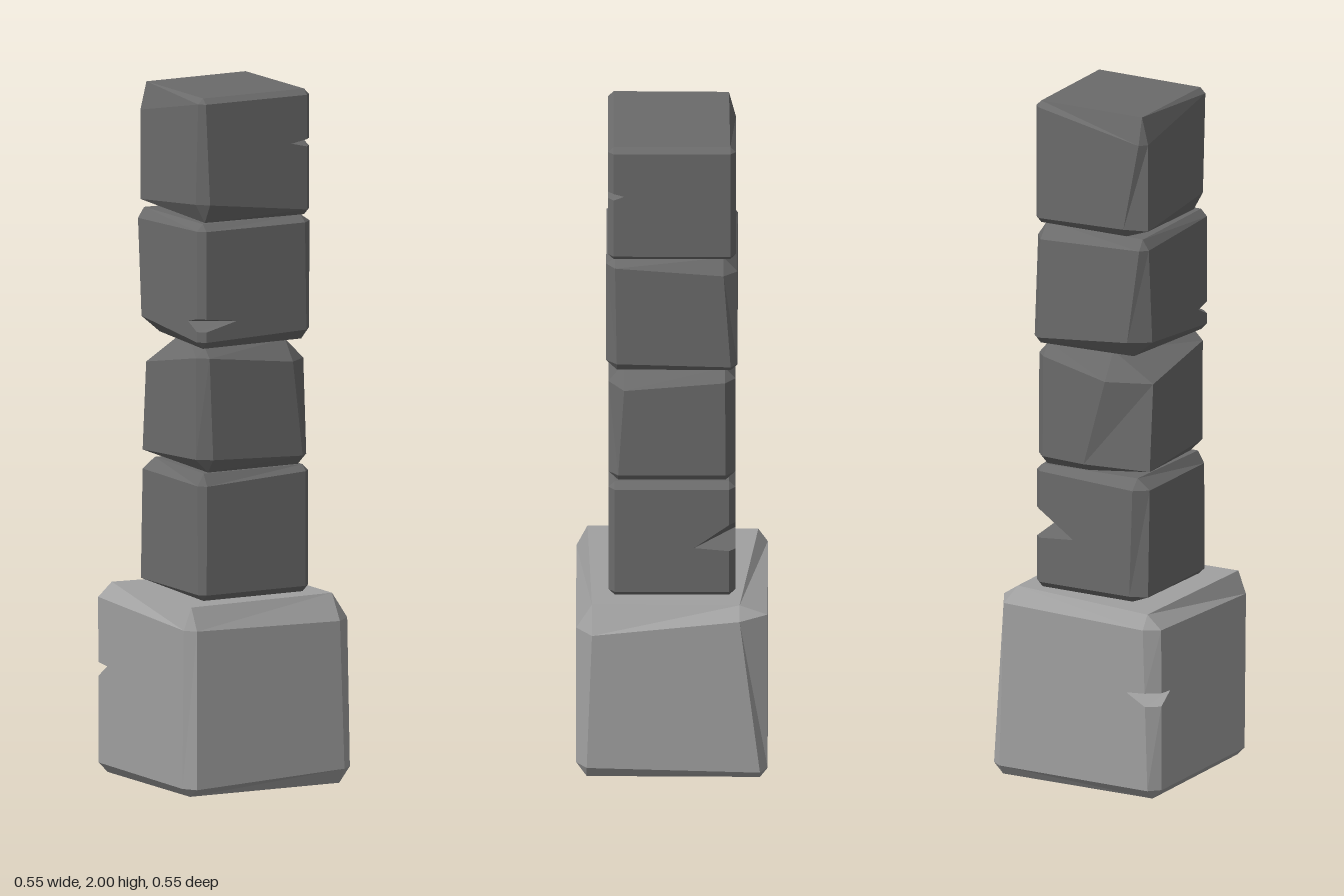
import * as THREE from 'three';

const V = (x, y, z) => new THREE.Vector3(x, y, z);
const SIGNS = [-1, 1];

// Flat polygon turned to face the hint direction, appended to a position list
function addPoly(out, pts, hint) {
  const [ax, ay, az] = hint.toArray().map(Math.abs);
  const flat = pts.map(p =>
    ay > ax && ay > az ? new THREE.Vector2(p.x, p.z)
      : ax >= az ? new THREE.Vector2(p.y, p.z) : new THREE.Vector2(p.x, p.y));
  for (const [i, j, k] of THREE.ShapeUtils.triangulateShape(flat, [])) {
    const [a, b, c] = [pts[i], pts[j], pts[k]];
    const n = b.clone().sub(a).cross(c.clone().sub(a));
    const tri = n.dot(hint) >= 0 ? [a, b, c] : [a, c, b];
    tri.forEach(p => out.push(p.x, p.y, p.z));
  }
}

// Chamfered stone with uneven corners. cuts: 'sx,sy,sz' -> inset along x, y, z.
// notch: wedge chipped out of one vertical edge, heights measured from the stone's base.
function stoneGeometry({ w, h, bevel, cuts = {}, notch }) {
  const out = [], r = w / 2;
  const corner = (sx, sy, sz) => {
    const [cx, cy, cz] = cuts[[sx, sy, sz]] ?? [bevel, bevel, bevel];
    const y = sy > 0 ? h : 0;
    return {
      X: V(sx * r, y - sy * cy, sz * (r - cz)),
      Y: V(sx * (r - cx), y, sz * (r - cz)),
      Z: V(sx * (r - cx), y - sy * cy, sz * r),
    };
  };
  // Points up one side of a vertical edge, with the notch when it has one
  const side = (f, sx, sz) => {
    const b = corner(sx, -1, sz)[f], t = corner(sx, 1, sz)[f];
    if (!notch || notch.sx !== sx || notch.sz !== sz) return [b, t];
    const at = y => b.clone().lerp(t, (y - b.y) / (t.y - b.y));
    const tip = at(notch.tip);
    if (f === 'X') tip.z -= sz * notch.dz; else tip.x -= sx * notch.dx;
    return [b, at(notch.lo), tip, at(notch.hi), t];
  };

  for (const s of SIGNS) {
    // Six main faces
    addPoly(out, [...side('X', s, -1), ...side('X', s, 1).reverse()], V(s, 0, 0));
    addPoly(out, [...side('Z', -1, s), ...side('Z', 1, s).reverse()], V(0, 0, s));
    addPoly(out, [[-1, -1], [1, -1], [1, 1], [-1, 1]].map(([x, z]) => corner(x, s, z).Y), V(0, s, 0));
    for (const q of SIGNS) {
      // Horizontal chamfers
      addPoly(out, [corner(s, q, -1).X, corner(s, q, 1).X, corner(s, q, 1).Y, corner(s, q, -1).Y], V(s, q, 0));
      addPoly(out, [corner(-1, q, s).Z, corner(1, q, s).Z, corner(1, q, s).Y, corner(-1, q, s).Y], V(0, q, s));
      // Vertical chamfer, split around the notch
      const a = side('X', s, q), b = side('Z', s, q), outward = V(s, 0, q);
      for (let i = 0; i < a.length - 1; i++) {
        const hint = a.length === 2 || i === 0 || i === 3 ? outward : V(0, i === 1 ? 1 : -1, 0);
        addPoly(out, [a[i], a[i + 1], b[i + 1], b[i]], hint);
      }
      // Corner facets
      for (const t of SIGNS) {
        const c = corner(s, q, t);
        addPoly(out, [c.X, c.Y, c.Z], V(s, q, t));
      }
    }
  }
  const geo = new THREE.BufferGeometry();
  geo.setAttribute('position', new THREE.Float32BufferAttribute(out, 3));
  geo.computeVertexNormals();
  return geo;
}

export function createModel() {
  const group = new THREE.Group();
  group.name = 'stonePillar';
  const paleStone = new THREE.MeshStandardMaterial({ color: 0xa0a0a0 });
  paleStone.name = 'paleStone';
  const darkStone = new THREE.MeshStandardMaterial({ color: 0x6b6b6b });
  darkStone.name = 'darkStone';

  const stones = [
    { name: 'baseStone', y: 0, w: 0.545, h: 0.548, bevel: 0.03, material: paleStone,
      cuts: {
        '-1,1,1': [0.025, 0.065, 0.032], '1,1,1': [0.05, 0.075, 0.045],
        '-1,1,-1': [0.045, 0.04, 0.027], '1,1,-1': [0.045, 0.03, 0.08],
        '-1,-1,1': [0.025, 0.025, 0.04], '1,-1,1': [0.035, 0.045, 0.03],
        '1,-1,-1': [0.03, 0.03, 0.022],
      },
      notch: { sx: -1, sz: -1, lo: 0.28, tip: 0.315, hi: 0.32, dx: 0.06, dz: 0.05 } },
    { name: 'lowerStone', y: 0.548, w: 0.362, h: 0.367, bevel: 0.018, material: darkStone,
      cuts: { '-1,1,1': [0.02, 0.035, 0.02], '-1,1,-1': [0.04, 0.03, 0.03], '-1,-1,-1': [0.05, 0.02, 0.02] },
      notch: { sx: 1, sz: -1, lo: 0.15, tip: 0.16, hi: 0.235, dx: 0.11, dz: 0.1 } },
    { name: 'lowerMiddleStone', y: 0.915, w: 0.362, h: 0.362, bevel: 0.028, material: darkStone,
      cuts: {
        '1,1,1': [0.06, 0.06, 0.045], '-1,-1,1': [0.04, 0.04, 0.03],
        '-1,1,-1': [0.13, 0.08, 0.05], '-1,-1,-1': [0.2, 0.025, 0.03],
        '1,1,-1': [0.03, 0.035, 0.03],
      } },
    { name: 'upperMiddleStone', y: 1.277, w: 0.374, h: 0.36, bevel: 0.02, material: darkStone,
      cuts: {
        '1,1,-1': [0.03, 0.045, 0.04], '1,-1,1': [0.025, 0.03, 0.03], '1,1,1': [0.03, 0.02, 0.025],
        '-1,-1,-1': [0.06, 0.05, 0.04], '-1,1,-1': [0.02, 0.03, 0.02],
      },
      notch: { sx: -1, sz: 1, lo: 0.05, tip: 0.075, hi: 0.087, dx: 0.1, dz: 0.05 } },
    { name: 'topStone', y: 1.637, w: 0.364, h: 0.363, bevel: 0.016, material: darkStone,
      cuts: {
        '-1,-1,1': [0.03, 0.055, 0.03], '-1,1,-1': [0.02, 0.08, 0.02], '-1,-1,-1': [0.07, 0.025, 0.02],
      },
      notch: { sx: 1, sz: 1, lo: 0.198, tip: 0.21, hi: 0.219, dx: 0.05, dz: 0.03 } },
  ];
  for (const s of stones) {
    const mesh = new THREE.Mesh(stoneGeometry(s), s.material);
    mesh.name = s.name;
    mesh.position.y = s.y;
    group.add(mesh);
  }
  return group;
}
